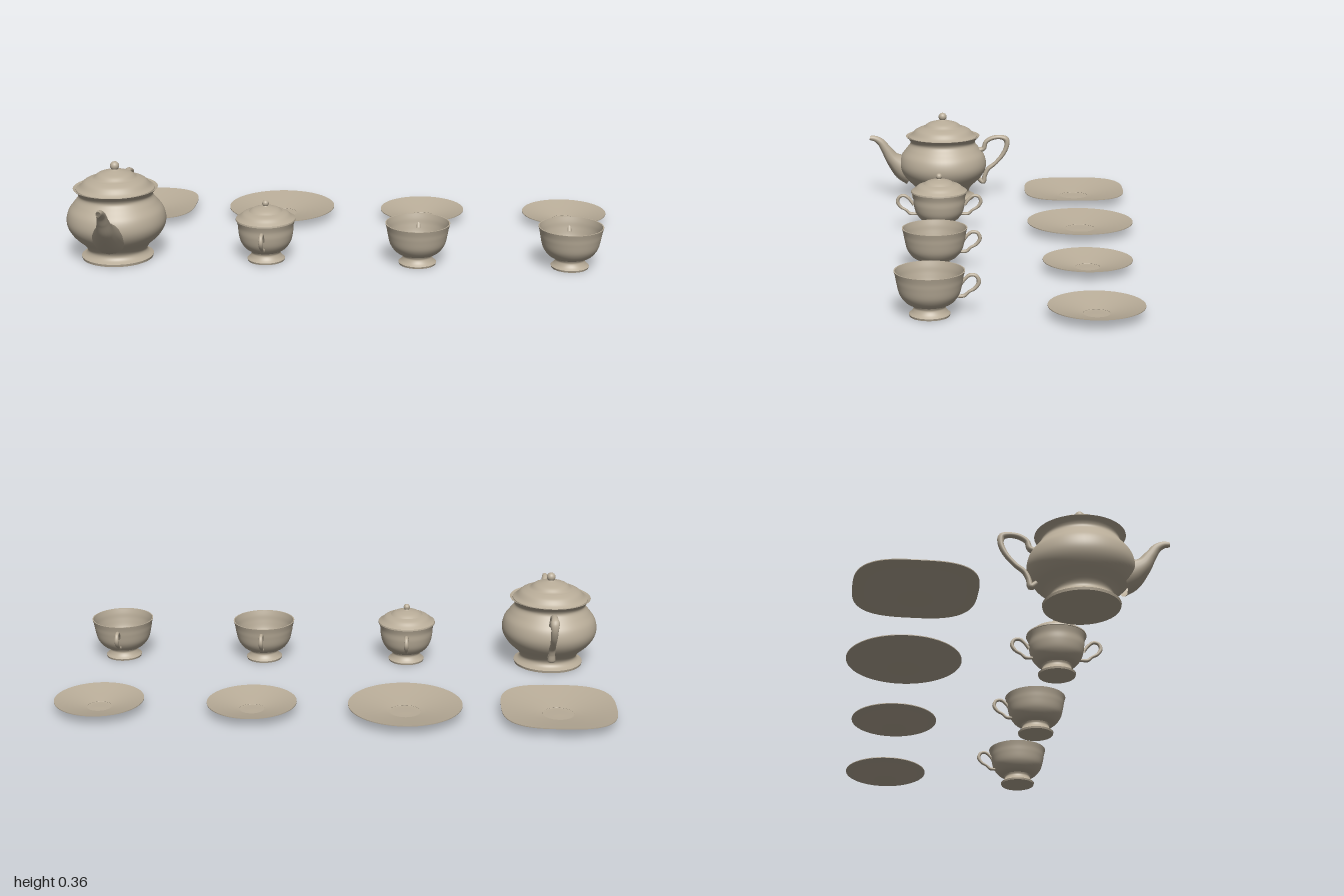
import * as THREE from 'three';
import { mergeGeometries } from 'three/addons/utils/BufferGeometryUtils.js';

const china = new THREE.MeshStandardMaterial({ color: 0xb8ac98, side: THREE.DoubleSide });
china.name = 'beige china';

// Turned shape: each section is a smooth [radius, y] curve; edges between sections stay sharp
function turned(sections, segments = 64) {
  return mergeGeometries(sections.map((pts) => {
    const v = pts.map(([r, y]) => new THREE.Vector2(r, y));
    const line = v.length > 2 ? new THREE.SplineCurve(v).getPoints(v.length * 5) : v;
    line.forEach((p) => { p.x = Math.max(p.x, 0); });
    return new THREE.LatheGeometry(line, segments);
  }));
}

// Swept shape in the y-z plane: path of [z, y, radius], widened sideways by a factor
function swept(path, widen = 1, steps = 48) {
  const curve = new THREE.CatmullRomCurve3(path.map(([z, y]) => new THREE.Vector3(0, y, z)));
  const geo = new THREE.TubeGeometry(curve, steps, 1, 16);
  const pos = geo.attributes.position;
  const radii = new THREE.CatmullRomCurve3(path.map(([, , r], i) => new THREE.Vector3(i, r, 0)));
  const lengths = curve.getLengths(200);
  const p = new THREE.Vector3();
  const c = new THREE.Vector3();
  for (let i = 0; i < pos.count; i++) {
    const u = Math.floor(i / 17) / steps;
    curve.getPointAt(u, c);
    const t = curve.getUtoTmapping(u, u * lengths[200]);
    const r = radii.getPoint(t).y;
    p.fromBufferAttribute(pos, i).sub(c).multiplyScalar(r).add(c);
    pos.setXYZ(i, p.x, p.y, p.z);
  }
  geo.scale(widen, 1, 1);
  return geo;
}

function add(parent, name, geo) {
  const mesh = new THREE.Mesh(geo, china);
  mesh.name = name;
  parent.add(mesh);
  return mesh;
}

function place(parent, name, x, z) {
  const g = new THREE.Group();
  g.name = name;
  g.position.set(x, 0, z);
  parent.add(g);
  return g;
}

function knob(parent, y, r) {
  const ball = add(parent, 'lidKnob', new THREE.SphereGeometry(r, 24, 16));
  ball.position.y = y;
}

// Small curled handle shared by the cups and the sugar bowl, reaching toward -z
const smallHandle = () => swept([
  [-0.098, 0.105, 0.006], [-0.113, 0.126, 0.006], [-0.132, 0.141, 0.006],
  [-0.151, 0.138, 0.006], [-0.16, 0.118, 0.007], [-0.148, 0.097, 0.006],
  [-0.127, 0.084, 0.005], [-0.112, 0.071, 0.006], [-0.082, 0.07, 0.005],
], 1.2);

const smallFoot = [
  [[0, 0.005], [0.066, 0.005]],
  [[0.066, 0.005], [0.068, 0.012]],
  [[0.068, 0.012], [0.058, 0.021], [0.052, 0.033], [0.055, 0.042]],
];

function teapot(parent) {
  const g = place(parent, 'teapot', -0.797, 0.221);
  add(g, 'teapotBody', turned([
    [[0, 0.005], [0.128, 0.005]],
    [[0.128, 0.005], [0.13, 0.014]],
    [[0.13, 0.014], [0.113, 0.024], [0.108, 0.04], [0.123, 0.062], [0.153, 0.09], [0.173, 0.12],
      [0.179, 0.15], [0.171, 0.184], [0.15, 0.213], [0.134, 0.235], [0.137, 0.25], [0.152, 0.266]],
    [[0.152, 0.266], [0.14, 0.261], [0.125, 0.258]],
  ]));
  add(g, 'teapotLid', turned([
    [[0.142, 0.259], [0.141, 0.265]],
    [[0.141, 0.265], [0.129, 0.273], [0.111, 0.291], [0.088, 0.301]],
    [[0.088, 0.301], [0.077, 0.305], [0.06, 0.318], [0.035, 0.326], [0.016, 0.331], [0.01, 0.336], [0.012, 0.342]],
  ]));
  knob(g, 0.345, 0.0165);
  add(g, 'spout', swept([
    [0.125, 0.115, 0.06], [0.165, 0.135, 0.053], [0.207, 0.168, 0.031], [0.234, 0.207, 0.021],
    [0.257, 0.239, 0.016], [0.28, 0.253, 0.012], [0.301, 0.256, 0.009],
  ], 1.05));
  add(g, 'teapotHandle', swept([
    [-0.145, 0.205, 0.01], [-0.168, 0.211, 0.01], [-0.178, 0.238, 0.009], [-0.204, 0.255, 0.009],
    [-0.24, 0.259, 0.009], [-0.262, 0.25, 0.012], [-0.265, 0.226, 0.01], [-0.25, 0.189, 0.009],
    [-0.218, 0.15, 0.008], [-0.187, 0.124, 0.009], [-0.174, 0.098, 0.009], [-0.167, 0.071, 0.011],
    [-0.158, 0.076, 0.01], [-0.14, 0.094, 0.008],
  ], 1.4, 96));
}

function sugarBowl(parent) {
  const g = place(parent, 'sugarBowl', -0.255, 0.221);
  add(g, 'bowlBody', turned([
    ...smallFoot,
    [[0.055, 0.042], [0.073, 0.053], [0.09, 0.077], [0.098, 0.108], [0.1, 0.135], [0.106, 0.156]],
  ]));
  add(g, 'bowlLid', turned([
    [[0.09, 0.156], [0.108, 0.157]],
    [[0.108, 0.157], [0.107, 0.162]],
    [[0.107, 0.162], [0.095, 0.17], [0.08, 0.182], [0.06, 0.189]],
    [[0.06, 0.189], [0.046, 0.198], [0.025, 0.204], [0.01, 0.207], [0.008, 0.215]],
  ]));
  knob(g, 0.217, 0.012);
  add(g, 'bowlBackHandle', smallHandle());
  add(g, 'bowlFrontHandle', smallHandle()).rotation.y = Math.PI;
}

function cup(parent, x) {
  const g = place(parent, 'teacup', x, 0.221);
  add(g, 'cupBody', turned([
    ...smallFoot,
    [[0.055, 0.042], [0.078, 0.053], [0.098, 0.08], [0.107, 0.115], [0.111, 0.138], [0.116, 0.157]],
    [[0.116, 0.157], [0.112, 0.157]],
    [[0.112, 0.157], [0.107, 0.138], [0.103, 0.115], [0.094, 0.082], [0.074, 0.057], [0.04, 0.05], [0, 0.049]],
  ]));
  add(g, 'cupHandle', smallHandle());
}

// Shallow plate; a squared one blends from a round well to a superellipse rim
function saucer(parent, name, x, r, squared = false) {
  const well = r * 0.28;
  const geo = turned([
    [[0, 0.005], [well, 0.005]],
    [[well, 0.005], [r * 0.6, 0.02], [r, 0.038]],
    [[r, 0.038], [r, 0.041]],
    [[r, 0.041], [r * 0.62, 0.025], [well, 0.012]],
    [[well, 0.012], [well * 0.9, 0.01], [0, 0.01]],
  ], 96);
  if (squared) {
    const pos = geo.attributes.position;
    for (let i = 0; i < pos.count; i++) {
      const px = pos.getX(i);
      const pz = pos.getZ(i);
      const d = Math.hypot(px, pz);
      if (d < well) continue;
      const bulge = (Math.abs(px / d) ** 3 + Math.abs(pz / d) ** 3) ** (-1 / 3);
      const k = 1 + (bulge - 1) * (d - well) / (r - well);
      pos.setXYZ(i, px * k, pos.getY(i), pz * k);
    }
  }
  add(parent, name, geo).position.set(x, 0, -0.322);
}

export function createModel() {
  const set = new THREE.Group();
  set.name = 'teaSet';
  teapot(set);
  sugarBowl(set);
  cup(set, 0.291);
  cup(set, 0.835);
  saucer(set, 'squarePlate', -0.797, 0.204, true);
  saucer(set, 'roundPlate', -0.255, 0.203);
  saucer(set, 'saucer', 0.291, 0.16);
  saucer(set, 'saucer', 0.838, 0.16);
  return set;
}
